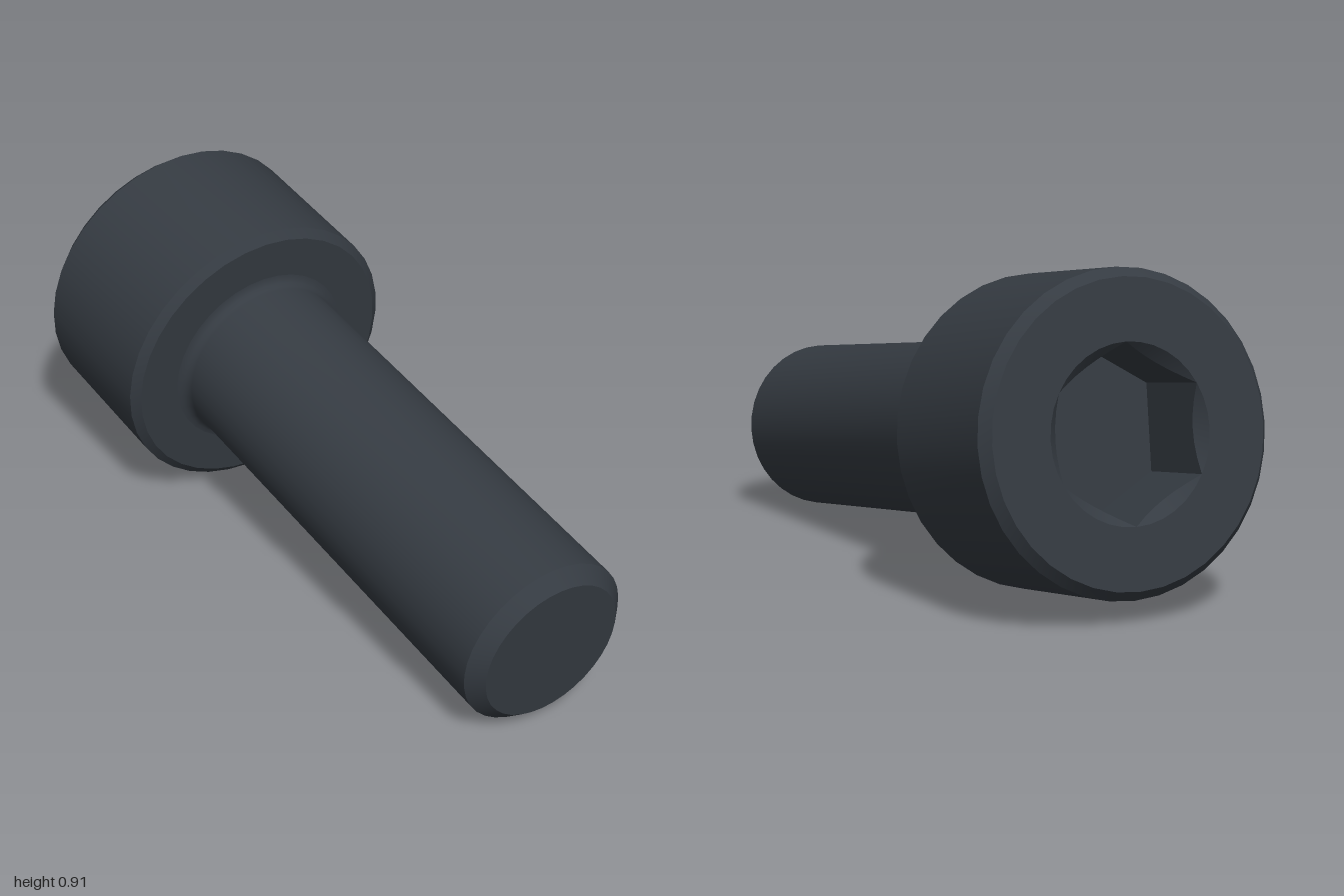
import * as THREE from 'three';
import { toCreasedNormals } from 'three/addons/utils/BufferGeometryUtils.js';

const SIDES = 36;
const LENGTH = 1.913;   // whole bolt, measured along its axis
const HEAD = 0.5;       // head height
const SOCKET_R = 0.235; // socket corner radius
const SOCKET_DEPTH = 0.245;

const steel = new THREE.MeshStandardMaterial({ color: 0x353b42 });
steel.name = 'dark steel';

// Turned part: profile of [radius, distance along the axis], axis along +z
function turned(name, profile) {
  const points = profile.map(([r, s]) => new THREE.Vector2(r, s));
  const geometry = new THREE.LatheGeometry(points, SIDES).rotateX(Math.PI / 2);
  return part(name, toCreasedNormals(geometry, 0.5));
}

function part(name, geometry) {
  const mesh = new THREE.Mesh(geometry, steel);
  mesh.name = name;
  return mesh;
}

// Hexagonal walls with a conical countersink at the mouth
function socketWalls() {
  const apothem = SOCKET_R * Math.cos(Math.PI / 6);
  const positions = [];
  const index = [];
  for (let i = 0; i <= SIDES; i++) {
    const deg = (i * 360) / SIDES;
    const a = THREE.MathUtils.degToRad(deg);
    const fromFlat = THREE.MathUtils.degToRad(((deg + 330) % 60) - 30);
    const hex = apothem / Math.cos(fromFlat);
    const rings = [[SOCKET_R, 0], [hex, SOCKET_R - hex], [hex, SOCKET_DEPTH]];
    for (const [r, z] of rings) positions.push(r * Math.cos(a), r * Math.sin(a), z);
    if (i === SIDES) break;
    for (let k = 0; k < 2; k++) {
      const p = i * 3 + k;
      const q = p + 3;
      index.push(p, p + 1, q, q, p + 1, q + 1);
    }
  }
  const geometry = new THREE.BufferGeometry();
  geometry.setAttribute('position', new THREE.Float32BufferAttribute(positions, 3));
  geometry.setIndex(index);
  return toCreasedNormals(geometry, 0.4);
}

export function createModel() {
  const model = new THREE.Group();
  model.name = 'socketHeadBolt';

  // Head: flat top around the socket, bevelled rims, flat underside
  model.add(turned('head', [
    [SOCKET_R, 0], [0.4, 0], [0.425, 0.03],
    [0.425, HEAD - 0.02], [0.4, HEAD], [0.275, HEAD],
  ]));

  // Shank: small fillet under the head, bevelled tip
  const fillet = 0.03;
  const shank = [];
  for (let i = 0; i <= 4; i++) {
    const a = (i / 4) * Math.PI / 2;
    shank.push([0.25 + fillet * (1 - Math.sin(a)), HEAD + fillet * (1 - Math.cos(a))]);
  }
  shank.push([0.25, LENGTH - 0.04], [0.21, LENGTH], [0, LENGTH]);
  model.add(turned('shank', shank));

  // Hexagonal drive socket
  model.add(part('socketWalls', socketWalls()));
  const floor = part('socketFloor',
    new THREE.CircleGeometry(SOCKET_R, 6, Math.PI / 6).rotateY(Math.PI));
  floor.position.z = SOCKET_DEPTH;
  model.add(floor);

  // Lie the bolt down so the head rim and the tip touch the ground
  model.lookAt(0.969, -0.128, 0.212);
  model.position.set(-0.905, 0.49, -0.118);

  const root = new THREE.Group();
  root.name = 'bolt';
  root.add(model);
  return root;
}
